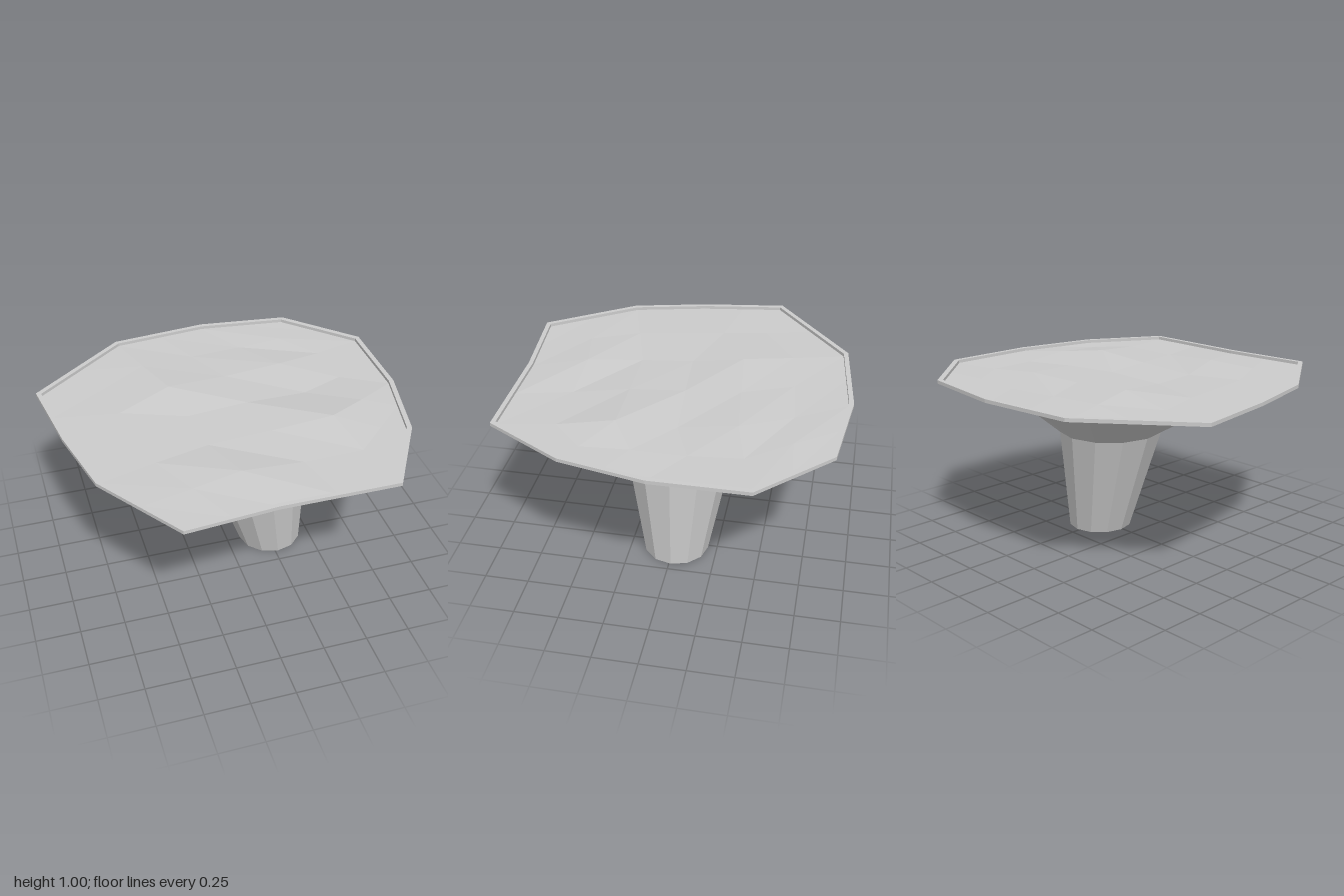
import * as THREE from 'three';

const SIDES = 12;

// Uneven outline of the cap (x, z), one corner per stem side
const OUTLINE = [
  [1, 0], [0.9, 0.47], [0.65, 0.9], [0, 0.9], [-0.5, 0.945], [-0.83, 0.46],
  [-0.93, 0.03], [-1, -0.45], [-0.45, -0.89], [0.11, -0.95], [0.63, -0.89], [1, -0.52],
];

// Height offsets of the 5 x 5 inner points of the top (rows back to front)
const BUMPS = [
  [0.0, 0.008, 0.0, -0.006, 0.004],
  [0.006, 0.02, 0.006, 0.012, -0.002],
  [0.004, -0.004, 0.008, -0.006, -0.006],
  [0.002, -0.006, 0.01, 0.033, 0.012],
  [0.006, 0.02, 0.0, 0.004, 0.0],
];

const circleRing = (cx, r, y) => Array.from({ length: SIDES }, (_, i) => {
  const a = (i / SIDES) * Math.PI * 2;
  return new THREE.Vector3(cx + r * Math.cos(a), y, -0.01 + r * Math.sin(a));
});
const outlineRing = (scale, y) =>
  OUTLINE.map(([x, z]) => new THREE.Vector3(x * scale, y, z * scale));

function facetedMesh(name, points, index) {
  const geometry = new THREE.BufferGeometry().setFromPoints(points);
  geometry.setIndex(index);
  const flat = geometry.toNonIndexed();
  flat.computeVertexNormals();
  const mesh = new THREE.Mesh(flat, new THREE.MeshStandardMaterial({
    color: 0xcccccc, flatShading: true, side: THREE.DoubleSide,
  }));
  mesh.name = name;
  return mesh;
}

// Joins successive rings with quads
function loft(name, rings) {
  const index = [];
  for (let k = 0; k < rings.length - 1; k++) {
    for (let i = 0; i < SIDES; i++) {
      const j = (i + 1) % SIDES;
      const a = k * SIDES + i, b = k * SIDES + j;
      const d = a + SIDES, c = b + SIDES;
      index.push(a, d, c, a, c, b);
    }
  }
  return facetedMesh(name, rings.flat(), index);
}

// Grid patch spanning the outline, with small bumps inside
function topSurface(name, ring, n = 6) {
  const along = (ids, t) => {
    const s = Math.min(Math.floor(t * 3), 2);
    return ring[ids[s]].clone().lerp(ring[ids[s + 1]], t * 3 - s);
  };
  const back = [7, 8, 9, 10], front = [4, 3, 2, 1];
  const left = [7, 6, 5, 4], right = [10, 11, 0, 1];
  const points = [], index = [];
  for (let j = 0; j <= n; j++) {
    for (let i = 0; i <= n; i++) {
      const u = i / n, v = j / n;
      const p = along(left, v).lerp(along(right, v), u);
      p.add(along(back, u).lerp(along(front, u), v));
      const backEdge = ring[7].clone().lerp(ring[10], u);
      const frontEdge = ring[4].clone().lerp(ring[1], u);
      p.sub(backEdge.lerp(frontEdge, v));
      if (i > 0 && i < n && j > 0 && j < n) p.y += BUMPS[j - 1][i - 1];
      points.push(p);
      if (i < n && j < n) {
        const a = j * (n + 1) + i, b = a + 1, d = a + n + 1, c = d + 1;
        index.push(a, d, c, a, c, b);
      }
    }
  }
  return facetedMesh(name, points, index);
}

export function createModel() {
  const group = new THREE.Group();
  group.name = 'rockPlatform';

  const neck = circleRing(0.165, 0.305, 0.62);
  const shoulder = circleRing(0.05, 0.69, 0.91);
  const edge = outlineRing(1, 0.96);
  const lip = outlineRing(0.972, 0.962);

  // Leaning stem, open at the bottom
  group.add(loft('stem', [circleRing(0.267, 0.187, 0), neck]));
  // Flaring underside
  group.add(loft('underside', [neck, shoulder, edge]));
  // Thin raised rim around the top
  group.add(loft('rim', [edge, outlineRing(1, 0.98), outlineRing(0.972, 0.98), lip]));
  // Bumpy ground inside the rim
  group.add(topSurface('top', lip));

  return group;
}
